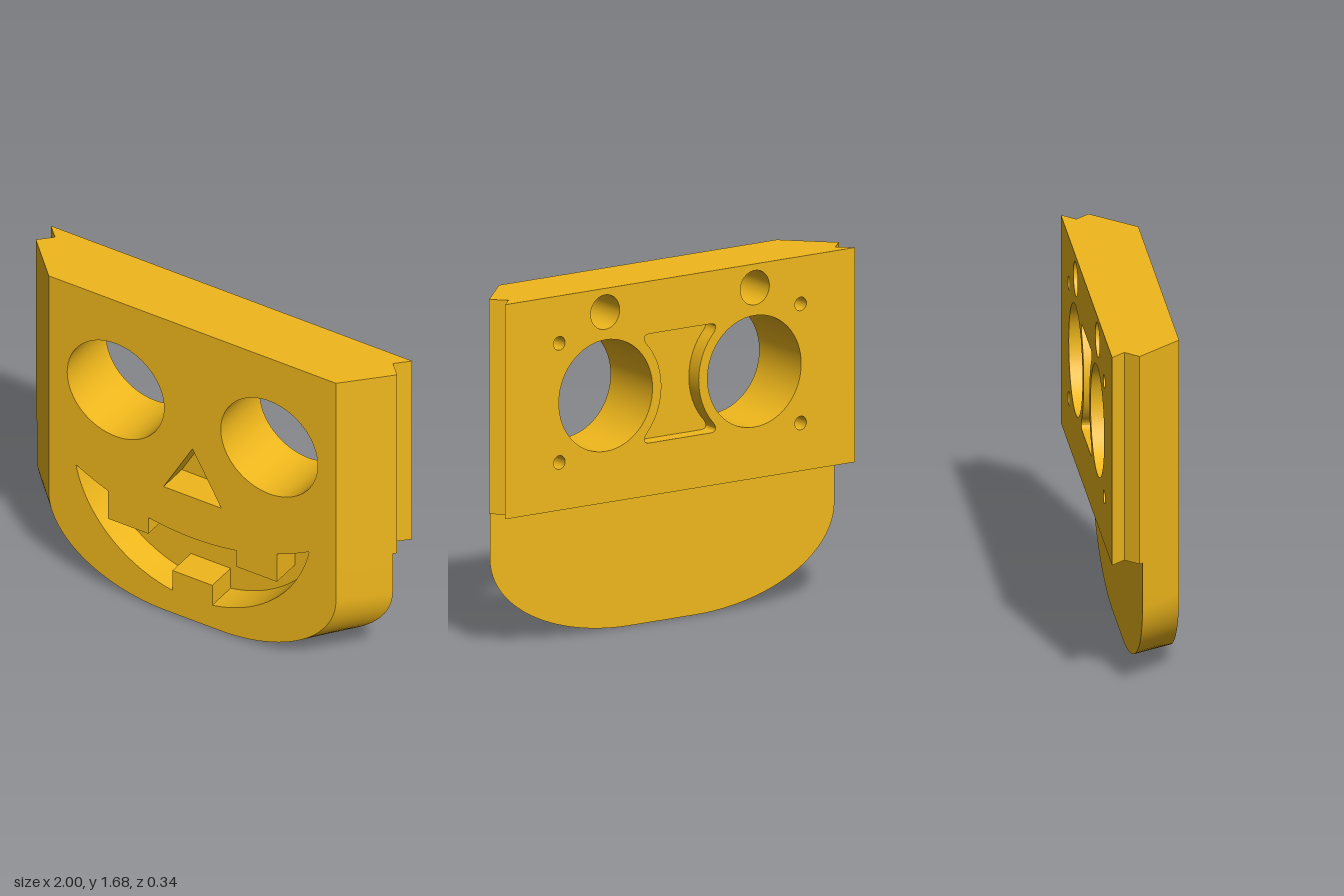
import * as THREE from 'three';
import { mergeGeometries, toCreasedNormals } from 'three/addons/utils/BufferGeometryUtils.js';

const FRONT = 0.17, BACK = -0.17, LOWER_BACK = -0.025, CARVE = 0.01;
const TOP = 1.68, LEDGE = 0.65, EYE_X = 0.425, EYE_Y = 1.165;
const V = (x, y) => new THREE.Vector2(x, y);
const poly = (...p) => p.map(([x, y]) => V(x, y));
const mirrored = (pts) => pts.map((p) => V(-p.x, p.y)).reverse();

// Closed point loop from a path, always counter-clockwise
function loop(path) {
  const pts = path.getPoints(24);
  if (pts[0].distanceTo(pts[pts.length - 1]) < 1e-5) pts.pop();
  return THREE.ShapeUtils.isClockWise(pts) ? pts.reverse() : pts;
}

function circle(x, y, r, n = 64) {
  return Array.from({ length: n }, (_, i) => {
    const a = (i / n) * Math.PI * 2;
    return V(x + r * Math.cos(a), y + r * Math.sin(a));
  });
}

// Wall joining two outlines at depths z0 < z1, facing outward for counter-clockwise points
function wall(a, z0, b, z1, closed = true) {
  const pos = [];
  for (let i = 0; i < a.length - (closed ? 0 : 1); i++) {
    const j = (i + 1) % a.length;
    const p = [a[i].x, a[i].y, z0], q = [a[j].x, a[j].y, z0];
    const r = [b[j].x, b[j].y, z1], s = [b[i].x, b[i].y, z1];
    pos.push(...p, ...q, ...r, ...p, ...r, ...s);
  }
  const g = new THREE.BufferGeometry();
  g.setAttribute('position', new THREE.Float32BufferAttribute(pos, 3));
  return toCreasedNormals(g, 0.5);
}

// Flat face with holes at depth z, turned to -z when back is true
function cap(outline, z, back = false, holes = []) {
  const shape = new THREE.Shape(outline);
  shape.holes = holes.map((h) => new THREE.Path(h));
  let g = new THREE.ShapeGeometry(shape);
  if (back) g.setIndex(Array.from(g.index.array).reverse());
  g = g.toNonIndexed();
  g.deleteAttribute('uv');
  g.translate(0, 0, z);
  g.computeVertexNormals();
  return g;
}

// Inward-facing wall of a hole
const bore = (pts, z0, z1) => {
  const r = [...pts].reverse();
  return wall(r, z0, r, z1);
};

// Jaw line: straight cheeks, elliptical corners and a flat chin
function jaw(k) {
  const pts = [V(-0.795 * k, LEDGE)];
  for (let i = 0; i <= 32; i++) {
    const a = (i / 32) * Math.PI / 2;
    pts.push(V(k * (-0.15 - 0.645 * Math.cos(a)), 0.43 - 0.43 * Math.sin(a)));
  }
  return [...pts, ...mirrored(pts)];
}

function mouthOutline() {
  const p = new THREE.Path();
  const a0 = Math.atan2(-0.131, 0.645), a1 = Math.atan2(-0.649, 0.11);
  p.moveTo(-0.645, 0.648);
  p.quadraticCurveTo(-0.56, 0.6, -0.467, 0.565);
  p.lineTo(-0.467, 0.405);
  p.lineTo(-0.244, 0.405);
  p.lineTo(-0.244, 0.498);
  p.quadraticCurveTo(0, 0.452, 0.244, 0.498);
  p.lineTo(0.244, 0.405);
  p.lineTo(0.467, 0.405);
  p.lineTo(0.467, 0.565);
  p.quadraticCurveTo(0.56, 0.6, 0.645, 0.648);
  p.absarc(0, 0.779, 0.658, a0, a1, true);
  p.lineTo(0.11, 0.245);
  p.lineTo(-0.11, 0.245);
  p.absarc(0, 0.779, 0.658, Math.PI - a1, Math.PI - a0, true);
  return loop(p);
}

// Recess whose sides follow the eye holes
function pocketOutline() {
  const p = new THREE.Path(), r = 0.318, a = 0.742;
  const t = EYE_Y + 0.262, b = EYE_Y - 0.262;
  const x = EYE_X - r * Math.cos(a), h = r * Math.sin(a);
  p.moveTo(-0.17, t);
  p.lineTo(0.17, t);
  p.quadraticCurveTo(0.225, t, x, EYE_Y + h);
  p.absarc(EYE_X, EYE_Y, r, Math.PI - a, Math.PI + a, false);
  p.quadraticCurveTo(0.225, b, 0.17, b);
  p.lineTo(-0.17, b);
  p.quadraticCurveTo(-0.225, b, -x, EYE_Y - h);
  p.absarc(-EYE_X, EYE_Y, r, -a, a, false);
  p.quadraticCurveTo(-0.225, t, -0.17, t);
  return loop(p);
}

export function createModel() {
  const group = new THREE.Group();
  const material = new THREE.MeshStandardMaterial({ color: 0xf0b81c });
  const add = (name, ...geos) => {
    const mesh = new THREE.Mesh(mergeGeometries(geos), material);
    mesh.name = name;
    group.add(mesh);
    return mesh;
  };
  const blind = (pts, depth) => [bore(pts, BACK, BACK + depth), cap(pts, BACK + depth, true)];

  const eyes = [-1, 1].map((s) => circle(s * EYE_X, EYE_Y, 0.268));
  const nose = poly([-0.16, 0.71], [0.16, 0.71], [0, 0.99]);
  const mouth = mouthOutline();
  const pocket = pocketOutline();
  const pegs = [-1, 1].map((s) => circle(s * 0.428, 1.566, 0.083, 40));
  const screws = [-1, 1].flatMap((s) => [0.88, 1.452].map((y) => circle(s * 0.69, y, 0.033, 24)));

  // Front face and the flared jaw
  const frontJaw = jaw(1), backJaw = jaw(0.985 / 0.795);
  add('frontFace', cap([...frontJaw, V(0.795, TOP), V(-0.795, TOP)], FRONT, false, [...eyes, nose, mouth]));
  add('jaw', wall(backJaw, LOWER_BACK, frontJaw, FRONT, false), cap(backJaw, LOWER_BACK, true));

  // Upper plate: back face, grooved sides, top and ledge (plan drawn as x, -z)
  add('backFace', cap(poly([-1, LEDGE], [1, LEDGE], [1, TOP], [-1, TOP]), BACK, true,
    [...eyes, pocket, ...pegs, ...screws]));
  const side = poly([0.795, -FRONT], [1, 0.04], [0.935, 0.105], [1, -BACK]);
  const ledge = [V(0.985, -LOWER_BACK), ...side.slice(1)];
  add('groovedSides',
    wall(side, LEDGE, side, TOP, false),
    wall(mirrored(side), LEDGE, mirrored(side), TOP, false),
    cap([...side, ...mirrored(side)], TOP),
    cap([...ledge, ...mirrored(ledge)], LEDGE, true)).rotation.x = -Math.PI / 2;

  // Eyes pass right through; nose and mouth are carved in
  add('eyeHoles', ...eyes.map((e) => bore(e, BACK, FRONT)));
  add('noseRecess', bore(nose, CARVE, FRONT), cap(nose, CARVE));
  add('mouthRecess', bore(mouth, CARVE, FRONT), cap(mouth, CARVE));

  // Blind openings in the back
  add('backPocket', ...blind(pocket, 0.08));
  add('pegHoles', ...pegs.flatMap((p) => blind(p, 0.25)));
  add('screwHoles', ...screws.flatMap((p) => blind(p, 0.2)));
  return group;
}
